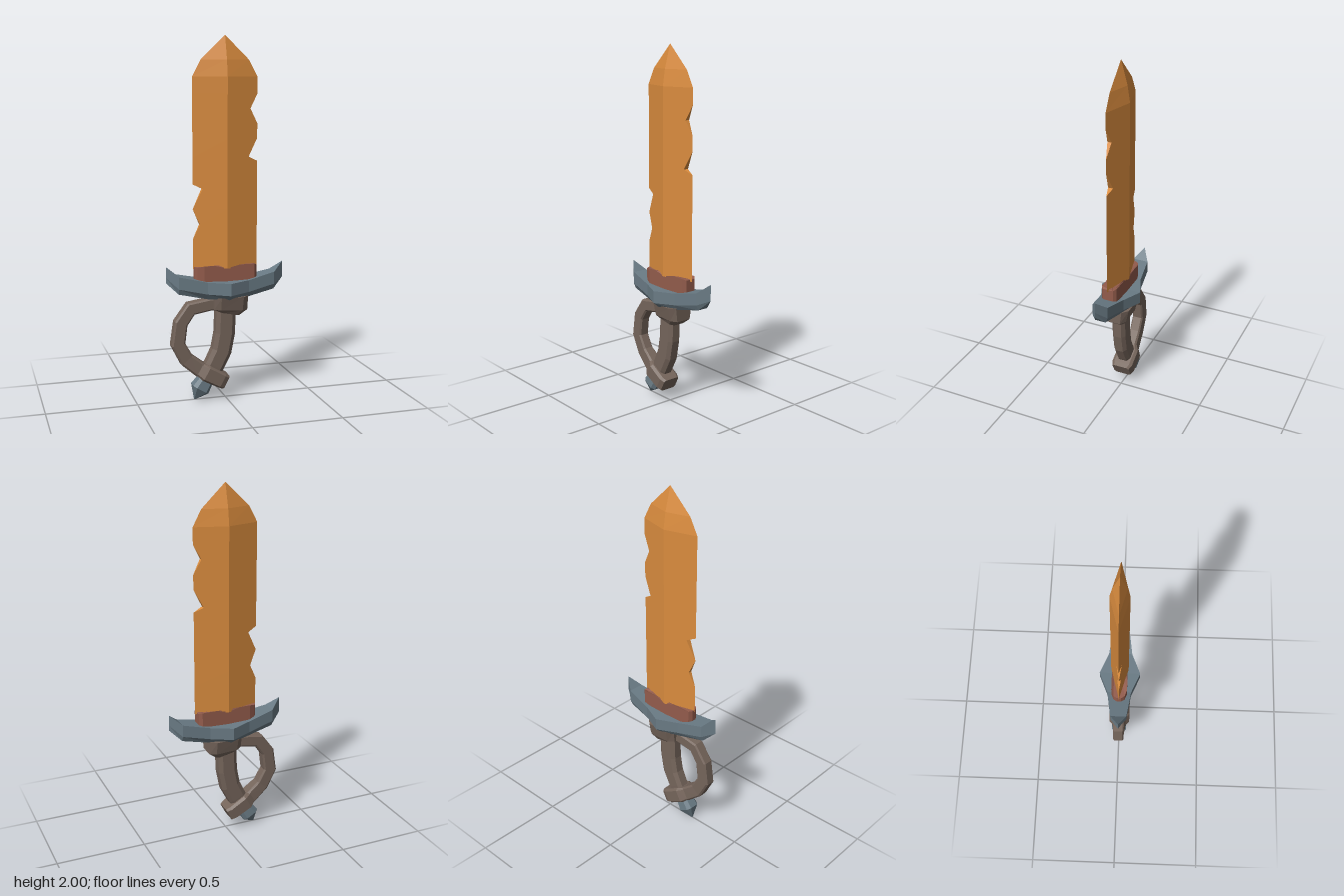
import * as THREE from 'three';

const mat = (name, color) => {
  const m = new THREE.MeshStandardMaterial({ color });
  m.name = name;
  return m;
};

// Skin a list of convex rings (counter-clockwise around the travel direction), capped, flat faceted
function loft(name, rings, material) {
  const pos = [];
  const tri = (a, b, c) => {
    const area = b.clone().sub(a).cross(c.clone().sub(a)).length();
    if (area > 1e-7) for (const p of [a, b, c]) pos.push(p.x, p.y, p.z);
  };
  const n = rings[0].length;
  for (let k = 0; k < rings.length - 1; k++) {
    const a = rings[k], b = rings[k + 1];
    for (let i = 0; i < n; i++) {
      const j = (i + 1) % n;
      tri(a[i], a[j], b[j]);
      tri(a[i], b[j], b[i]);
    }
  }
  const first = rings[0], last = rings[rings.length - 1];
  for (let i = 1; i < n - 1; i++) {
    tri(first[0], first[i + 1], first[i]);
    tri(last[0], last[i], last[i + 1]);
  }
  const g = new THREE.BufferGeometry();
  g.setAttribute('position', new THREE.Float32BufferAttribute(pos, 3));
  g.computeVertexNormals();
  const mesh = new THREE.Mesh(g, material);
  mesh.name = name;
  return mesh;
}

const V = (x, y, z) => new THREE.Vector3(x, y, z);

// Chamfered bar along a path in the xy plane; stations are [x, y, half width, half depth]
function bar(name, stations, chamfer, material) {
  const rings = stations.map(([x, y, w, h], i) => {
    const p = stations[Math.max(i - 1, 0)], q = stations[Math.min(i + 1, stations.length - 1)];
    const len = Math.hypot(q[0] - p[0], q[1] - p[1]);
    const nx = (q[1] - p[1]) / len, ny = -(q[0] - p[0]) / len;
    const c = 1 - chamfer;
    return [[1, c], [1, -c], [c, -1], [-c, -1], [-1, -c], [-1, c], [-c, 1], [c, 1]]
      .map(([u, v]) => V(x + nx * w * u, y + ny * w * u, h * v));
  });
  return loft(name, rings, material);
}

export function createModel() {
  const model = new THREE.Group();
  model.name = 'sword';
  const copper = mat('orange blade', 0xda8c3e);
  const steel = mat('blue grey metal', 0x6a7b85);
  const leather = mat('red brown collar', 0x935c4c);
  const wood = mat('grey brown grip', 0x75655b);

  // Diamond-section blade with notched edges: [y, left x, right x, ridge half depth]
  const W = 0.183;
  const bladeRows = [
    [0.742, -W, W, 0.05], [0.905, -W, W, 0.05], [0.985, -0.145, W, 0.05], [1.07, -W, W, 0.05],
    [1.18, -0.13, W, 0.05], [1.205, -W, W, 0.05], [1.325, -W, W, 0.05], [1.35, -W, 0.13, 0.05],
    [1.45, -W, W, 0.05], [1.53, -W, W, 0.05], [1.61, -W, 0.14, 0.05], [1.69, -W, W, 0.05],
    [1.78, -W, W, 0.05], [1.87, -0.135, 0.135, 0.036], [2, 0, 0, 0],
  ];
  model.add(loft('blade', bladeRows.map(([y, l, r, d]) => {
    const edge = x => (y > 1.78 ? 0 : d * (1 - Math.abs(x) / W));
    return [V(r, y, edge(r)), V(r, y, -edge(r)), V(0, y, -d), V(l, y, -edge(l)), V(l, y, edge(l)), V(0, y, d)];
  }), copper));

  // Collar around the blade root, its rim dipping slightly in the middle
  const half = [[0.172, 0.03], [0.155, 0.045], [0.07, 0.045], [0, 0.045], [-0.07, 0.045], [-0.13, 0.045], [-0.165, 0.032], [-0.178, 0.012]];
  const outline = [...half.map(([x, z]) => [x, -z]), ...half.map(([x, z]) => [x, z]).reverse()];
  const collarRing = f => outline.map(([x, z]) => V(x, f(x), z));
  model.add(loft('bladeCollar', [
    collarRing(() => 0.65),
    collarRing(x => (Math.abs(x) < 0.01 ? 0.742 : Math.abs(x) > 0.16 ? 0.752 : 0.76)),
  ], leather));

  // Crossguard with upswept pointed ends: [x, underside y, top y, half depth]
  const arm = [[0.335, 0.67, 0.76, 0], [0.272, 0.61, 0.708, 0.045], [0.118, 0.578, 0.674, 0.068]];
  const guardRows = [
    ...arm.map(([x, ...rest]) => [-x, ...rest]),
    [0, 0.572, 0.67, 0.118],
    ...arm.slice().reverse(),
  ];
  model.add(loft('crossguard', guardRows.map(([x, b, t, d]) => [
    V(x, t, -d), V(x, t, d), V(x, b + 0.03, d), V(x, b, d * 0.7), V(x, b, -d * 0.7), V(x, b + 0.03, -d),
  ]), steel));

  // Tapered block under the guard
  model.add(bar('gripCollar', [
    [0.015, 0.485, 0.06, 0.05], [0.02, 0.51, 0.095, 0.068], [0.02, 0.585, 0.097, 0.085],
  ], 0.35, wood));

  // Curved grip
  model.add(bar('grip', [
    [-0.11, 0.11, 0.05, 0.036], [-0.065, 0.19, 0.054, 0.04], [-0.025, 0.27, 0.056, 0.04],
    [-0.006, 0.37, 0.056, 0.04], [0, 0.51, 0.056, 0.04],
  ], 0.4, wood));

  // Knuckle bow sweeping from the block down to the grip end
  model.add(bar('knuckleBow', [
    [0.02, 0.54, 0.032, 0.032], [-0.09, 0.54, 0.034, 0.032], [-0.2, 0.522, 0.037, 0.032],
    [-0.257, 0.442, 0.037, 0.032], [-0.273, 0.325, 0.039, 0.032], [-0.225, 0.235, 0.04, 0.032],
    [-0.145, 0.17, 0.042, 0.04],
  ], 0.25, wood));

  // Wide band where the bow clasps the grip
  model.add(bar('gripBand', [
    [-0.158, 0.18, 0.036, 0.036], [-0.12, 0.157, 0.046, 0.063], [-0.03, 0.107, 0.043, 0.063], [-0.005, 0.094, 0.041, 0.052],
  ], 0.25, wood));

  // Pointed pommel
  model.add(bar('pommel', [
    [-0.178, 0, 0.003, 0.003], [-0.148, 0.06, 0.05, 0.045], [-0.1, 0.13, 0.038, 0.036],
  ], 0.4, steel));

  return model;
}
